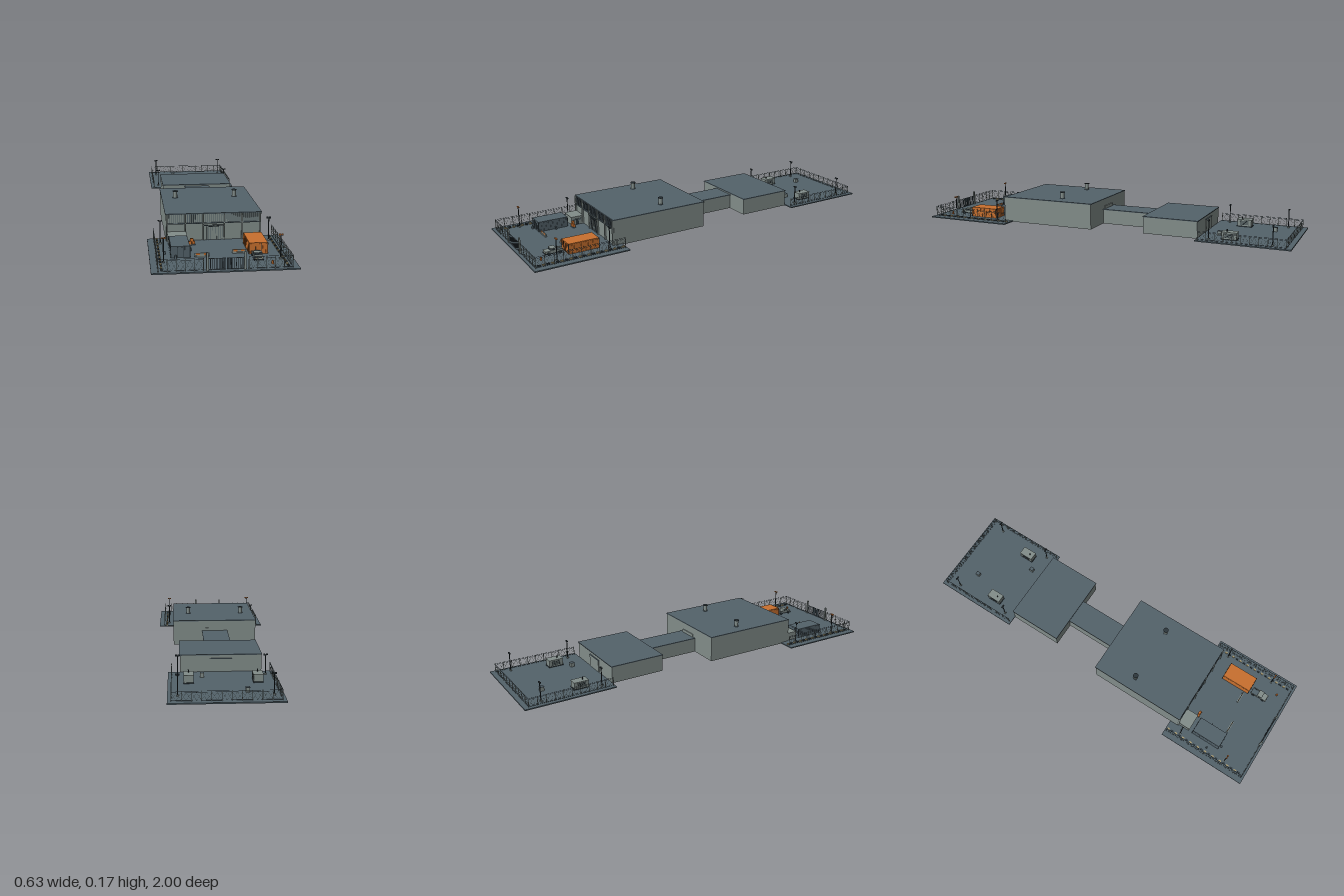
import * as THREE from 'three';

export function createModel() {
  const root = new THREE.Group();
  const mat = (name, color) => {
    const m = new THREE.MeshStandardMaterial({ color });
    m.name = name;
    return m;
  };
  const slate = mat('slate', 0x53626a);
  const wall = mat('wall grey', 0x828d8a);
  const dark = mat('dark steel', 0x2c363b);
  const orange = mat('orange', 0xc8702e);
  const ochre = mat('ochre', 0xa89a72);

  const unit = new THREE.BoxGeometry(1, 1, 1);
  const PAD = 0.006;
  let parent = root;

  // Box placed by its centre in x and z and by its underside in y
  function box(name, m, w, h, d, x, y, z) {
    const b = new THREE.Mesh(unit, m);
    b.name = name;
    b.scale.set(w, h, d);
    b.position.set(x, y + h / 2, z);
    parent.add(b);
    return b;
  }
  function cyl(name, m, r, h, x, y, z, n = 16) {
    const c = new THREE.Mesh(new THREE.CylinderGeometry(r, r, h, n), m);
    c.name = name;
    c.position.set(x, y + h / 2, z);
    parent.add(c);
    return c;
  }
  // Runs a builder with its meshes collected in a named group
  function group(name, build) {
    const g = new THREE.Group();
    g.name = name;
    const before = parent;
    before.add(g);
    parent = g;
    build();
    parent = before;
    return g;
  }
  // Thin bar between two points
  function bar(name, m, a, b, t) {
    const from = new THREE.Vector3(...a), to = new THREE.Vector3(...b);
    const s = new THREE.Mesh(unit, m);
    s.name = name;
    s.position.copy(from).add(to).multiplyScalar(0.5);
    s.scale.set(t, t, from.distanceTo(to));
    s.lookAt(to);
    parent.add(s);
  }

  // Ground slabs
  box('frontYard', slate, 0.63, PAD, 0.48, 0, 0, 0.76);
  box('rearYard', slate, 0.504, PAD, 0.47, 0, 0, -0.765);

  // Halls and the link between them
  function hall(name, w, h, z0, z1) {
    group(name, () => {
      box('walls', wall, w - 0.006, h - 0.004, z1 - z0 - 0.006, 0, 0.0005, (z0 + z1) / 2);
      box('roof', slate, w, 0.004, z1 - z0, 0, h - 0.004, (z0 + z1) / 2);
    });
  }
  hall('mainHall', 0.46, 0.137, 0.04, 0.565);
  hall('linkCorridor', 0.14, 0.08, -0.245, 0.048);
  hall('rearHall', 0.396, 0.09, -0.53, -0.236);

  // Front facade: ribbed upper band, pilasters, sill and main door
  group('facade', () => {
    const z = 0.562;
    box('sill', slate, 0.45, 0.004, 0.008, 0, 0.087, z + 0.002);
    for (let i = 0; i <= 46; i++) {
      box('rib', slate, 0.0028, 0.042, 0.006, -0.221 + i * 0.0096, 0.091, z + 0.001);
    }
    for (const s of [-1, 1]) {
      for (const x of [0.222, 0.135, 0.05]) box('pilaster', wall, 0.006, 0.132, 0.012, s * x, 0.001, z + 0.002);
      box('doorLeaf', wall, 0.045, 0.07, 0.004, s * 0.0235, PAD, z);
      for (let i = 0; i < 5; i++) box('doorRib', slate, 0.0015, 0.066, 0.002, s * (0.006 + i * 0.009), PAD, z + 0.003);
    }
    box('doorTrack', dark, 0.096, 0.0025, 0.008, 0, 0.076, z + 0.002);
    box('doorLamp', dark, 0.05, 0.0025, 0.01, 0, 0.071, z + 0.003);
  });

  // Rear doors
  box('rearDoor', wall, 0.1, 0.062, 0.006, 0, PAD, -0.529);
  box('rearDoorLintel', slate, 0.106, 0.003, 0.008, 0, 0.068, -0.529);
  box('linkPortal', wall, 0.1, 0.016, 0.006, 0, 0.08, 0.041);

  // Roof vents
  for (const x of [-0.16, 0.143]) {
    group('roofVent', () => {
      cyl('collar', slate, 0.013, 0.003, x, 0.137, 0.252);
      cyl('pipe', wall, 0.0105, 0.034, x, 0.137, 0.252);
      cyl('cap', dark, 0.014, 0.003, x, 0.17, 0.252);
    });
  }

  // Wire fence from one point to another
  function fence(x0, z0, x1, z1, h, bays) {
    group('fence', () => {
      const at = (t, y) => [x0 + (x1 - x0) * t, y, z0 + (z1 - z0) * t];
      for (let i = 0; i <= bays; i++) {
        const [x, , z] = at(i / bays, 0);
        box('post', wall, 0.0025, h, 0.0025, x, PAD, z);
        if (i === bays) break;
        const a = i / bays, b = (i + 1) / bays, lo = PAD + 0.003, hi = PAD + h * 0.85;
        for (let k = 0; k < 2; k++) {
          const p = a + (b - a) * k / 2, q = a + (b - a) * (k + 1) / 2;
          bar('meshWire', wall, at(p, lo), at(q, hi), 0.0006);
          bar('meshWire', wall, at(p, hi), at(q, lo), 0.0006);
        }
      }
      for (const k of [0.06, 0.86, 0.97]) bar('rail', slate, at(0, PAD + h * k), at(1, PAD + h * k), 0.0012);
    });
  }
  for (const s of [-1, 1]) {
    fence(s * 0.285, 0.53, s * 0.285, 0.985, 0.056, 10);
    fence(s * 0.285, 0.985, s * 0.096, 0.985, 0.056, 5);
    fence(s * 0.235, -0.54, s * 0.235, -0.975, 0.045, 10);
    // Striped kerb along the yard
    for (let i = 0; i < 20; i++) {
      box('kerb', i % 2 ? dark : ochre, 0.008, 0.006, 0.014, s * 0.27, PAD, 0.536 + i * 0.0225);
    }
  }
  fence(-0.235, -0.975, 0.235, -0.975, 0.045, 11);

  // Entrance gate
  group('gate', () => {
    for (const s of [-1, 1]) {
      box('gatePost', wall, 0.008, 0.079, 0.008, s * 0.08, PAD, 0.985);
      for (const y of [0.009, 0.057]) box('gateRail', slate, 0.073, 0.002, 0.003, s * 0.039, y, 0.985);
      for (let i = 0; i < 10; i++) box('gateBar', slate, 0.002, 0.05, 0.002, s * (0.004 + i * 0.0078), 0.009, 0.985);
      box('gatePlate', dark, 0.022, 0.046, 0.001, s * 0.014, 0.011, 0.983);
    }
  });

  // Floodlight masts
  function mast(x, z, h, lamp) {
    group('floodlight', () => {
      box('base', wall, 0.01, 0.006, 0.01, x, PAD, z);
      cyl('pole', dark, 0.0025, h - 0.008, x, PAD, z, 8);
      box('crossbar', dark, 0.02, 0.002, 0.003, x, h - 0.005, z);
      for (const s of [-1, 1]) box('lamp', lamp, 0.008, 0.006, 0.007, x + s * 0.006, h - 0.004, z);
    });
  }
  for (const s of [-1, 1]) {
    for (const z of [0.6, 0.87]) mast(s * 0.256, z, 0.118, z > 0.8 ? orange : dark);
    for (const z of [-0.59, -0.905]) mast(s * 0.207, z, 0.104, dark);
  }

  // Shipping containers with ribbed sides
  function container(name, m, x, z) {
    group(name, () => {
      const w = 0.084, h = 0.052, d = 0.158;
      box('shell', m, w, h, d, x, PAD, z);
      for (const s of [-1, 1]) {
        for (let i = 0; i < 13; i++) box('sideRib', m, 0.003, h - 0.008, 0.005, x + s * w / 2, PAD + 0.004, z - 0.072 + i * 0.012);
        for (let i = 0; i < 6; i++) box('endRib', m, 0.004, h - 0.008, 0.003, x - 0.035 + i * 0.014, PAD + 0.004, z + s * d / 2);
        for (const e of [-1, 1]) box('cornerPost', dark, 0.003, h, 0.003, x + s * w / 2, PAD, z + e * d / 2);
        box('lockRod', dark, 0.0015, h - 0.006, 0.002, x + s * 0.012, PAD + 0.003, z + d / 2 + 0.002);
      }
    });
  }
  container('orangeContainer', orange, 0.172, 0.715);
  container('slateContainer', slate, -0.178, 0.731);

  // Guard hut beside the hall
  group('guardHut', () => {
    box('hutWalls', wall, 0.084, 0.042, 0.062, -0.178, PAD, 0.598);
    box('hutRoof', wall, 0.09, 0.003, 0.068, -0.178, 0.048, 0.598);
    box('hutDoor', dark, 0.002, 0.032, 0.016, -0.136, PAD, 0.598);
    for (const z of [0.582, 0.614]) box('hutWindow', slate, 0.002, 0.01, 0.01, -0.136, 0.028, z);
  });

  // Utility truck facing the gate
  group('truck', () => {
    const x = 0.157, z = 0.85;
    box('chassis', dark, 0.03, 0.005, 0.088, x, 0.011, z);
    box('bonnet', wall, 0.037, 0.011, 0.026, x, 0.015, z + 0.031);
    box('cab', wall, 0.037, 0.023, 0.026, x, 0.015, z + 0.005);
    box('windscreen', dark, 0.031, 0.009, 0.001, x, 0.027, z + 0.0185);
    box('bumper', dark, 0.04, 0.004, 0.003, x, 0.012, z + 0.0445);
    box('bedFloor', slate, 0.037, 0.003, 0.036, x, 0.015, z - 0.026);
    box('tailgate', wall, 0.037, 0.01, 0.002, x, 0.017, z - 0.043);
    for (const s of [-1, 1]) {
      box('bedSide', wall, 0.002, 0.01, 0.036, x + s * 0.0175, 0.017, z - 0.026);
      box('sideWindow', dark, 0.001, 0.008, 0.018, x + s * 0.0186, 0.027, z + 0.005);
      box('headlight', ochre, 0.006, 0.004, 0.001, x + s * 0.013, 0.019, z + 0.0445);
      for (const e of [-1, 1]) cyl('wheel', dark, 0.008, 0.006, x + s * 0.018, 0.011, z + e * 0.028).rotation.z = Math.PI / 2;
    }
  });

  // Road barriers with orange boards
  function barrier(x, z, w) {
    group('barrier', () => {
      box('foot', wall, w, 0.006, 0.01, x, PAD, z);
      box('board', wall, w, 0.011, 0.004, x, 0.012, z);
      for (const s of [-1, 1]) box('stripe', orange, w * 0.28, 0.008, 0.005, x + s * w * 0.27, 0.014, z);
    });
  }
  barrier(-0.083, 0.805, 0.066);
  barrier(0.088, 0.772, 0.062);

  // Crates and drums
  box('pallet', slate, 0.034, 0.004, 0.018, -0.112, PAD, 0.632);
  for (const [x, y] of [[-0.121, 0.01], [-0.104, 0.01], [-0.112, 0.024]]) box('crate', orange, 0.014, 0.013, 0.013, x, y, 0.632);
  for (const [x, z, m] of [[0.209, 0.93, orange], [-0.126, 0.72, slate], [-0.246, 0.757, slate], [-0.2, 0.82, slate]]) {
    cyl('drum', m, 0.005, 0.014, x, PAD, z, 12);
  }

  // Generators and junction boxes in the rear yard
  for (const x of [-0.16, 0.157]) {
    group('generator', () => {
      const z = -0.685;
      box('skid', dark, 0.046, 0.004, 0.08, x, PAD, z);
      box('housing', wall, 0.044, 0.032, 0.074, x, 0.01, z);
      box('lid', wall, 0.047, 0.003, 0.078, x, 0.041, z);
      cyl('exhaust', dark, 0.003, 0.012, x, 0.044, z + 0.015, 10);
      for (const s of [-1, 1]) {
        for (let i = 0; i < 4; i++) box('louvre', dark, 0.001, 0.003, 0.045, x + s * 0.0224, 0.016 + i * 0.006, z);
      }
    });
  }
  for (const [x, z] of [[-0.098, -0.858], [0.093, -0.615]]) {
    box('junctionBox', wall, 0.018, 0.02, 0.02, x, PAD, z);
    box('junctionLid', slate, 0.02, 0.002, 0.022, x, 0.026, z);
  }

  return root;
}
